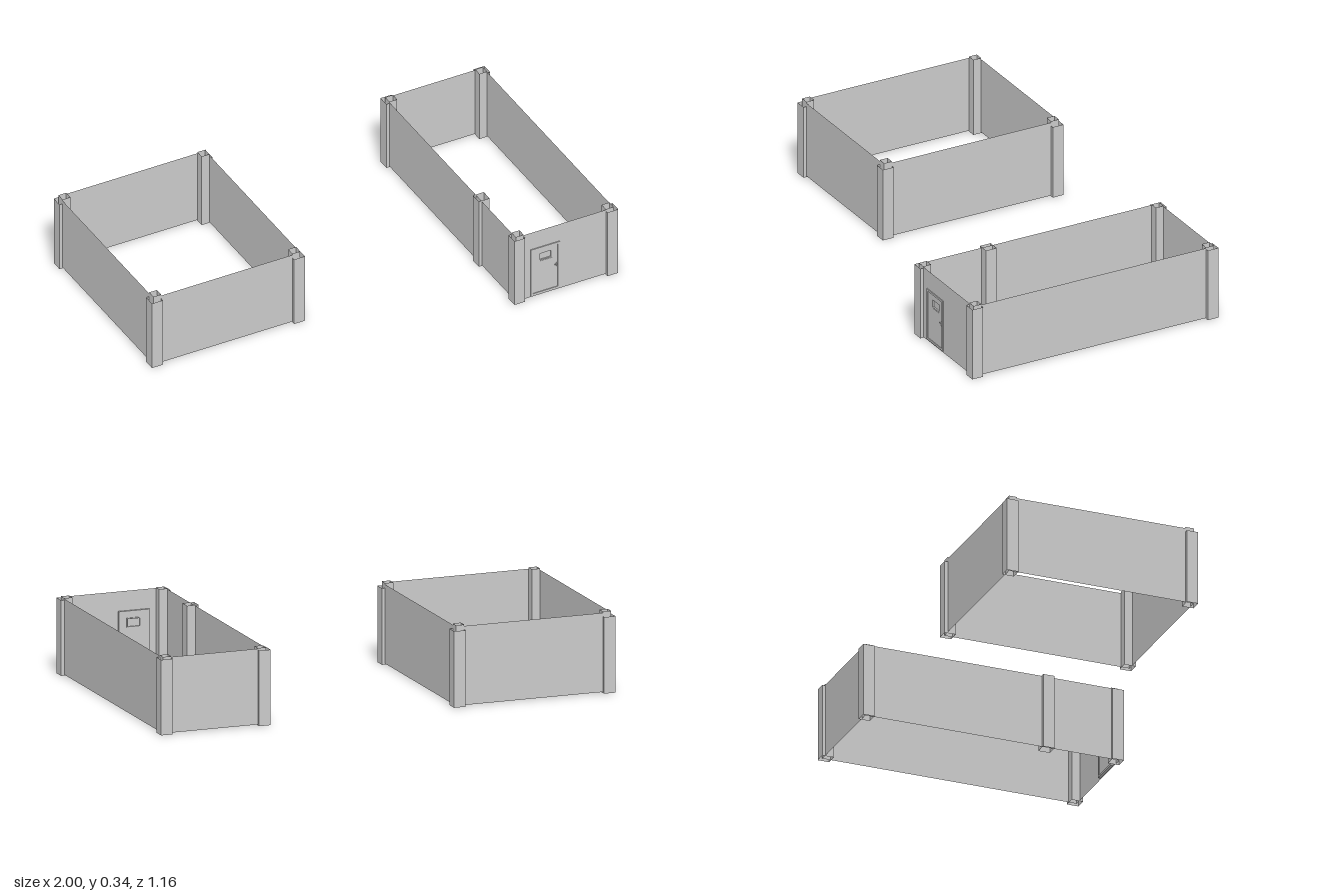
import * as THREE from 'three';

const grey = new THREE.MeshStandardMaterial({ color: 0xcccccc, side: THREE.DoubleSide });

function add(parent, name, geometry, x = 0, y = 0, z = 0) {
  const mesh = new THREE.Mesh(geometry, grey);
  mesh.name = name;
  mesh.position.set(x, y, z);
  parent.add(mesh);
  return mesh;
}

// Four-sided upright tube, open at top and bottom
function squareTube(width, depth, y0, y1) {
  const g = new THREE.BoxGeometry(width, y1 - y0, depth);
  const i = Array.from(g.index.array);
  g.setIndex([...i.slice(0, 12), ...i.slice(24, 36)]);
  g.clearGroups();
  return g.translate(0, (y0 + y1) / 2, 0);
}

function rectPoints(x0, y0, x1, y1) {
  return [[x0, y0], [x1, y0], [x1, y1], [x0, y1]].map(p => new THREE.Vector2(...p));
}

// Flat or extruded rectangle with an optional rectangular opening
function panel(outer, hole, depth) {
  const shape = new THREE.Shape(rectPoints(...outer));
  if (hole) shape.holes.push(new THREE.Path(rectPoints(...hole).reverse()));
  return depth
    ? new THREE.ExtrudeGeometry(shape, { depth, bevelEnabled: false })
    : new THREE.ShapeGeometry(shape);
}

const POST = 0.05;   // post width
const INSET = 0.014; // wall plane behind the outer post face
const BASE = 0.004;  // underside of the walls

// Open enclosure: four thin walls and a stepped post at each corner
function makeRoom(name, { x0, x1, z0, z1, wallTop, postTop, capTop, doorway }) {
  const room = new THREE.Group();
  room.name = name;
  const l = x0 + INSET, r = x1 - INSET, b = z0 + INSET, f = z1 - INSET;

  add(room, 'backWall', panel([l, BASE, r, wallTop]), 0, 0, b);
  add(room, 'frontWall', panel([l, BASE, r, wallTop], doorway), 0, 0, f);
  for (const [side, x] of [['rightWall', l], ['leftWall', r]]) {
    add(room, side, panel([-f, BASE, -b, wallTop]), x).rotation.y = Math.PI / 2;
  }

  for (const sx of [-1, 1]) for (const sz of [-1, 1]) {
    const post = new THREE.Group();
    post.name = (sz > 0 ? 'front' : 'back') + (sx > 0 ? 'Left' : 'Right') + 'Post';
    const cx = (sx > 0 ? x1 : x0) - sx * POST / 2;
    const cz = (sz > 0 ? z1 : z0) - sz * POST / 2;
    add(post, 'postShaft', squareTube(POST, POST, 0, postTop), cx, 0, cz);
    // the inner part of the post rises a little above the outer part
    const cap = POST - INSET;
    add(post, 'postCap', squareTube(cap, cap, postTop, capTop),
      cx - sx * INSET / 2, 0, cz - sz * INSET / 2);
    room.add(post);
  }
  return room;
}

// Door with frame, window and handle
function makeDoor(z) {
  const door = new THREE.Group();
  door.name = 'door';
  const [x0, y0, x1, y1] = [0.6, 0.01, 0.735, 0.24];
  const t = 0.009;
  const win = [0.64, 0.17, 0.70, 0.21];
  add(door, 'doorFrame', panel([x0, y0, x1, y1],
    [x0 + t, y0 + t, x1 - t, y1 - t], 0.014), 0, 0, z - 0.01);
  add(door, 'doorLeaf', panel([x0 + t, y0 + t, x1 - t, y1 - t], win, 0.008), 0, 0, z - 0.007);
  add(door, 'windowFrame', panel(win,
    [win[0] + 0.004, win[1] + 0.004, win[2] - 0.004, win[3] - 0.004], 0.012), 0, 0, z - 0.012);
  add(door, 'windowPane', panel(win), 0, 0, z - 0.006);
  add(door, 'handlePlate', new THREE.BoxGeometry(0.004, 0.016, 0.003), 0.72, 0.13, z + 0.002);
  add(door, 'handleLever', new THREE.BoxGeometry(0.012, 0.003, 0.004), 0.716, 0.132, z + 0.004);
  return door;
}

export function createModel() {
  const model = new THREE.Group();
  model.name = 'twoRooms';

  model.add(makeRoom('squareRoom', {
    x0: -1, x1: -0.29, z0: -0.578, z1: 0.27,
    wallTop: 0.337, postTop: 0.322, capTop: 0.343,
  }));

  const longRoom = makeRoom('longRoom', {
    x0: 0.518, x1: 1, z0: -0.578, z1: 0.578,
    wallTop: 0.323, postTop: 0.318, capTop: 0.326,
    doorway: [0.6, 0.01, 0.735, 0.24],
  });
  longRoom.add(makeDoor(0.564));

  // Post part way along the long wall
  add(longRoom, 'middlePost', squareTube(POST, POST, 0, 0.326), 0.518 + POST / 2, 0, 0.245);
  model.add(longRoom);
  return model;
}
